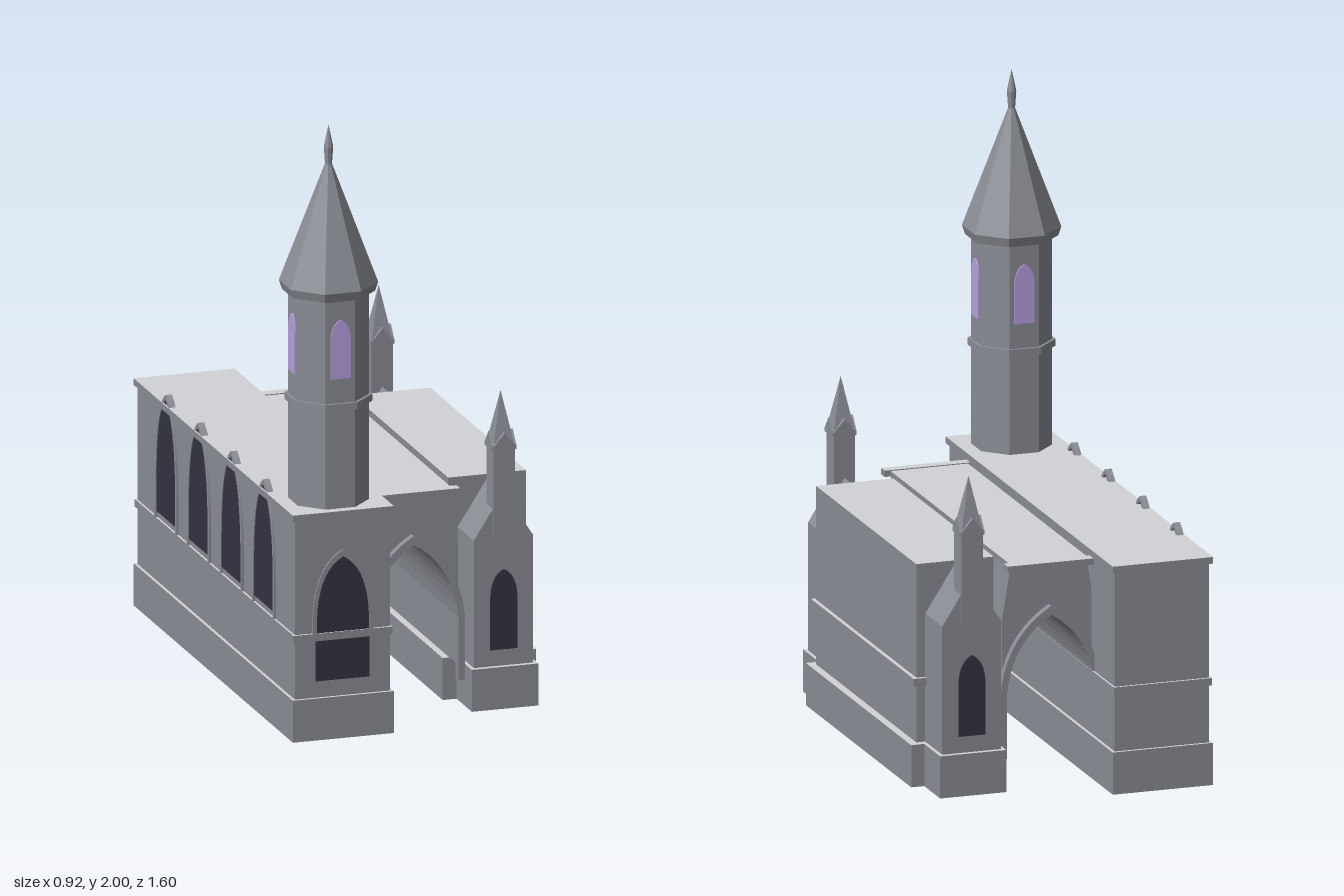
import * as THREE from 'three';

const mat = (name, color) => {
  const m = new THREE.MeshStandardMaterial({ color });
  m.name = name;
  return m;
};

// Faceted copy of a geometry
const facet = (g) => {
  const f = g.index ? g.toNonIndexed() : g;
  f.computeVertexNormals();
  return f;
};

// Half-open outline of a pointed arch, from bottom left over the apex to bottom right
function archPoints(w, y0, spring, apex, full = 0.78) {
  const curve = new THREE.QuadraticBezierCurve(
    new THREE.Vector2(-w, spring),
    new THREE.Vector2(-w * (0.56 + 0.5 * full), spring + (apex - spring) * full),
    new THREE.Vector2(0, apex));
  const left = [new THREE.Vector2(-w, y0), ...curve.getPoints(9)];
  const right = left.slice(0, -1).reverse().map((p) => new THREE.Vector2(-p.x, p.y));
  return [...left, ...right];
}

const extrude = (points, z0, z1) => {
  const g = new THREE.ExtrudeGeometry(new THREE.Shape(points), { depth: z1 - z0, bevelEnabled: false });
  return facet(g.translate(0, 0, z0));
};

const archBand = (outer, inner, z0, z1) =>
  extrude([...archPoints(...outer), ...archPoints(...inner).reverse()], z0, z1);

export function createModel() {
  const model = new THREE.Group();
  model.name = 'chapel';
  const stone = mat('grey stone', 0x8a8d95);
  const pale = mat('pale roof', 0xd2d3d7);
  const dark = mat('dark glass', 0x343242);
  const violet = mat('violet glass', 0xb9a0de);

  const add = (parent, name, geometry, material = stone) => {
    const m = new THREE.Mesh(geometry, material);
    m.name = name;
    parent.add(m);
    return m;
  };
  // Stone block with a pale upper face
  const box = (parent, name, x0, x1, y0, y1, z0, z1) =>
    add(parent, name, new THREE.BoxGeometry(x1 - x0, y1 - y0, z1 - z0)
      .translate((x0 + x1) / 2, (y0 + y1) / 2, (z0 + z1) / 2),
    [stone, stone, pale, stone, stone, stone]);
  const group = (name, parent = model) => {
    const g = new THREE.Group();
    g.name = name;
    parent.add(g);
    return g;
  };

  // Long hall that carries the tower
  const hall = group('longHall');
  box(hall, 'hallPlinth', -0.46, -0.12, 0, 0.14, -0.8, 0.8);
  box(hall, 'hallWalls', -0.45, -0.13, 0.14, 0.74, -0.79, 0.79);
  box(hall, 'hallStringCourse', -0.457, -0.124, 0.33, 0.355, -0.798, 0.798);
  box(hall, 'hallCornice', -0.46, -0.12, 0.735, 0.757, -0.8, 0.8);

  // Front window
  const frontWindow = group('frontWindow', hall);
  frontWindow.position.set(-0.29, 0, 0.79);
  add(frontWindow, 'frontGlass', extrude(archPoints(0.09, 0.195, 0.4, 0.607), -0.002, 0.004), dark);
  add(frontWindow, 'frontHood',
    archBand([0.102, 0.355, 0.4, 0.627], [0.088, 0.355, 0.4, 0.605], -0.002, 0.007));

  // Side windows whose hoods rise through the cornice
  for (const z of [-0.49, -0.165, 0.165, 0.49]) {
    const w = group('sideWindow', hall);
    w.position.set(-0.45, 0, z);
    w.rotation.y = -Math.PI / 2;
    add(w, 'sideGlass', extrude(archPoints(0.1, 0.375, 0.49, 0.776), -0.004, 0.004), dark);
    add(w, 'sideHood',
      archBand([0.112, 0.355, 0.49, 0.79], [0.098, 0.355, 0.49, 0.774], -0.015, 0.007));
  }

  // Octagonal tower
  const tower = group('tower');
  tower.position.set(-0.29, 0, 0.65);
  const octagon = (name, y0, y1, a0, a1) => {
    const k = 1 / Math.cos(Math.PI / 8);
    add(tower, name, facet(new THREE.CylinderGeometry(a1 * k, a0 * k, y1 - y0, 8)
      .rotateY(Math.PI / 8).translate(0, (y0 + y1) / 2, 0)));
  };
  octagon('towerShaft', 0.75, 1.46, 0.12, 0.12);
  octagon('towerBand', 1.085, 1.108, 0.13, 0.13);
  octagon('towerCornice', 1.452, 1.482, 0.138, 0.147);
  octagon('spire', 1.482, 1.88, 0.147, 0.008);
  octagon('finialStem', 1.85, 1.93, 0.009, 0.014);
  octagon('finialTip', 1.93, 2.0, 0.014, 0.0005);
  for (let i = 0; i < 4; i++) {
    const glass = add(tower, 'towerWindow',
      extrude(archPoints(0.034, 1.19, 1.32, 1.386), 0.118, 0.125), violet);
    glass.rotation.y = i * Math.PI / 2;
  }

  // Vaulted passage with sloping shoulders
  const passage = group('passage');
  passage.position.x = 0.016;
  const v = (x, y) => new THREE.Vector2(x, y);
  const vault = archPoints(0.15, 0.14, 0.3, 0.555, 0.68);
  add(passage, 'vault', extrude([...vault, v(0.157, 0.14), v(0.157, 0.55), v(0.13, 0.715),
    v(-0.13, 0.715), v(-0.157, 0.55), v(-0.157, 0.14)], -0.57, 0.57));
  box(passage, 'passageRoof', -0.13, 0.132, 0.71, 0.73, -0.57, 0.57);
  for (const s of [-1, 1]) {
    const end = s > 0 ? [0.565, 0.595] : [-0.595, -0.565];
    add(passage, 'archMoulding',
      archBand([0.172, 0.09, 0.3, 0.585, 0.68], [0.15, 0.09, 0.3, 0.555, 0.68], ...end));
    const cap = s > 0 ? [0.57, 0.605] : [-0.609, -0.57];
    box(passage, 'passageCornice', -0.14, 0.152, 0.712, 0.733, ...cap);
  }

  // Short hall
  const shortHall = group('shortHall');
  box(shortHall, 'shortPlinth', 0.143, 0.458, 0, 0.14, -0.505, 0.505);
  box(shortHall, 'shortWalls', 0.17, 0.432, 0.14, 0.732, -0.48, 0.48);
  box(shortHall, 'shortStringCourse', 0.165, 0.445, 0.33, 0.355, -0.492, 0.492);

  // Gabled turrets with pinnacles, one at each end of the short hall
  for (const s of [1, -1]) {
    const turret = group(s > 0 ? 'frontTurret' : 'backTurret');
    turret.position.x = 0.302;
    turret.rotation.y = s > 0 ? 0 : Math.PI;
    box(turret, 'turretPlinth', -0.112, 0.112, 0, 0.14, 0.47, 0.658);
    add(turret, 'turretBody', extrude([v(-0.1, 0.14), v(0.1, 0.14), v(0.1, 0.565),
      v(0, 0.72), v(-0.1, 0.565)], 0.47, 0.642));
    add(turret, 'turretWindow',
      extrude(archPoints(0.045, 0.195, 0.37, 0.462), 0.64, 0.647), dark);
    const pinnacle = group('pinnacle', turret);
    pinnacle.position.z = 0.612;
    box(pinnacle, 'pinnacleShaft', -0.036, 0.036, 0.56, 0.88, -0.036, 0.036);
    for (const r of [0, Math.PI / 2]) {
      const gablet = add(pinnacle, 'gablet', extrude([v(-0.037, 0.86), v(0.037, 0.86),
        v(0.037, 0.873), v(0, 0.917), v(-0.037, 0.873)], -0.041, 0.041));
      gablet.rotation.y = r;
    }
    add(pinnacle, 'pinnacleSpire', facet(new THREE.ConeGeometry(0.036 * Math.SQRT2, 0.18, 4)
      .rotateY(Math.PI / 4).translate(0, 0.96, 0)));
  }

  return model;
}
